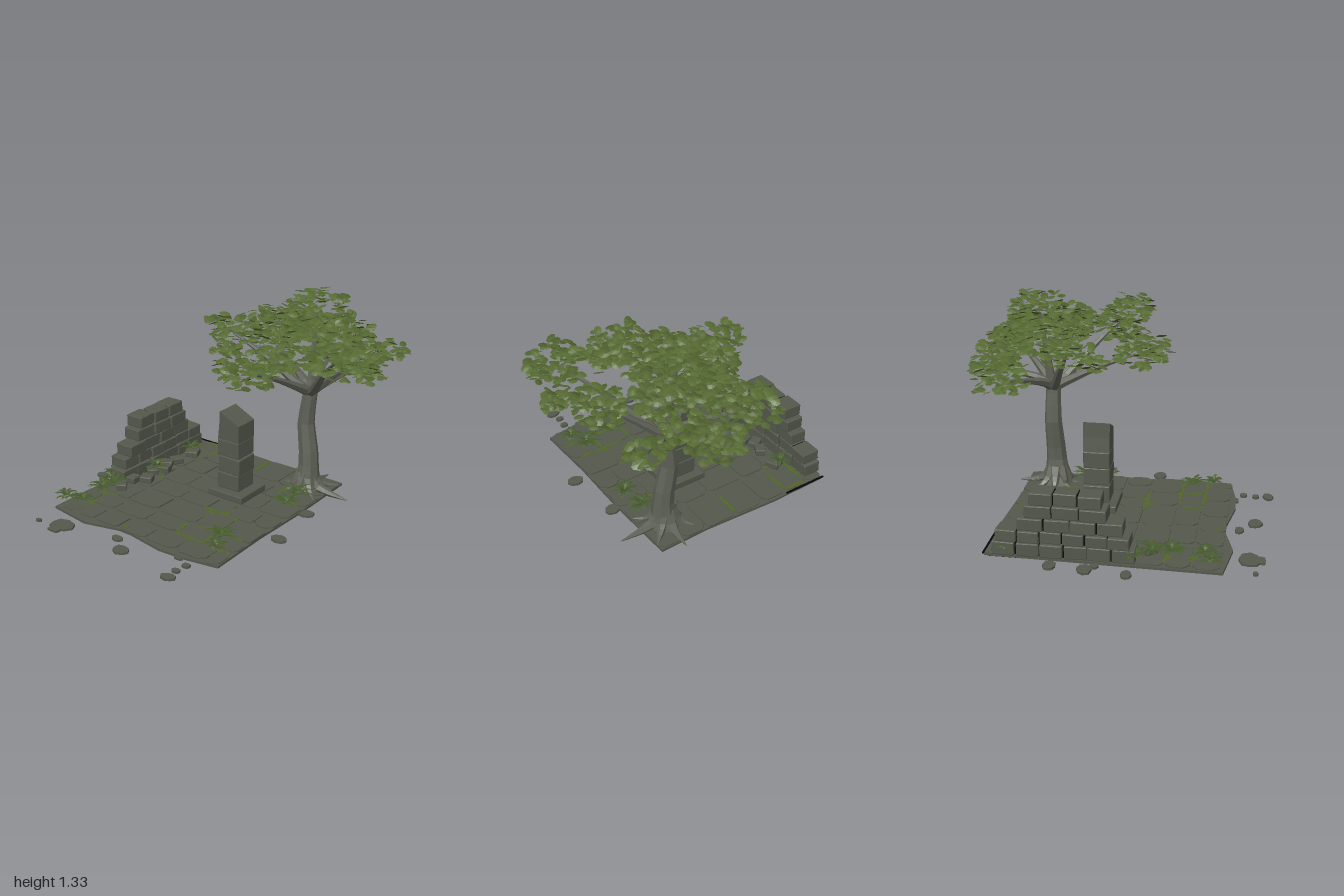
import * as THREE from 'three';
import { mergeGeometries } from 'three/addons/utils/BufferGeometryUtils.js';
import { RoundedBoxGeometry } from 'three/addons/geometries/RoundedBoxGeometry.js';

const material = (name, color, side = THREE.FrontSide) => {
  const m = new THREE.MeshStandardMaterial({ color, side });
  m.name = name;
  return m;
};

export function createModel() {
  const group = new THREE.Group();
  const stone = material('grey stone', 0x54584c);
  const black = material('black recess', 0x060606);
  const bark = material('grey bark', 0x5f6257);
  const moss = material('moss', 0x52662b);
  const leafA = material('leaf green', 0x566a32, THREE.DoubleSide);
  const leafB = material('deep leaf green', 0x4e602d, THREE.DoubleSide);
  const fern = material('fern green', 0x465a2c, THREE.DoubleSide);

  let seed = 7;
  const rand = (a = 0, b = 1) => {
    seed = (seed * 16807) % 2147483647;
    return a + (b - a) * (seed / 2147483647);
  };
  const flat = (geo) => {
    const g = geo.index ? geo.toNonIndexed() : geo;
    g.computeVertexNormals();
    return g;
  };
  const add = (name, geos, mat) => {
    const list = [].concat(geos).map(flat);
    const mesh = new THREE.Mesh(list.length > 1 ? mergeGeometries(list) : list[0], mat);
    mesh.name = name;
    group.add(mesh);
  };
  // Horizontal slab from [x, z] corners
  const slab = (pts, y, h) => {
    const shape = new THREE.Shape(pts.map(([x, z]) => new THREE.Vector2(x, -z)));
    return new THREE.ExtrudeGeometry(shape, { depth: h, bevelEnabled: false })
      .rotateX(-Math.PI / 2).translate(0, y, 0);
  };
  const block = (x, y, z, w, h, d, ry = 0, rz = 0) =>
    new RoundedBoxGeometry(w, h, d, 1, 0.006).rotateZ(rz).rotateY(ry).translate(x, y, z);
  // Irregular flat polygon slab
  const pebble = (x, z, rx, rz, y, h, n = 8) => slab(Array.from({ length: n }, (_, i) => {
    const a = (i / n) * Math.PI * 2;
    const k = rand(0.78, 1.1);
    return [x + Math.cos(a) * rx * k, z + Math.sin(a) * rz * k];
  }), y, h);
  // Tapered tube through points, radius shaped by a function of t
  const limb = (pts, radius, sides = 7, steps = 8) => {
    const path = new THREE.CatmullRomCurve3(pts.map((p) => new THREE.Vector3(...p)));
    const geo = new THREE.TubeGeometry(path, steps, 1, sides);
    const pos = geo.attributes.position;
    const v = new THREE.Vector3();
    for (let i = 0; i < pos.count; i++) {
      const t = Math.floor(i / (sides + 1)) / steps;
      const c = path.getPointAt(t);
      v.fromBufferAttribute(pos, i).sub(c).multiplyScalar(radius(t)).add(c);
      pos.setXYZ(i, v.x, v.y, v.z);
    }
    return geo;
  };

  // Paved floor: worn base slab with staggered corner-cut flagstones
  add('floorBase', slab([[-0.79, -0.62], [-0.4, -0.63], [0.1, -0.61], [0.44, -0.62], [0.45, -0.1], [0.44, 0.3],
    [0.45, 0.72], [0.23, 0.76], [0.05, 0.77], [-0.26, 0.72], [-0.53, 0.79], [-0.82, 0.75], [-0.81, 0.2]], 0.003, 0.015), stone);
  // Each course: [back z, front z, x cuts]
  const courses = [
    [-0.615, -0.355, [-0.8, -0.67, -0.51, -0.33, -0.12, 0.1, 0.28, 0.445]],
    [-0.35, -0.165, [-0.8, -0.55, -0.36, -0.1, 0.12, 0.3, 0.445]],
    [-0.16, 0.035, [-0.8, -0.56, -0.35, -0.15, 0.05, 0.22, 0.445]],
    [0.04, 0.205, [-0.8, -0.52, -0.27, -0.04, 0.1, 0.3, 0.445]],
    [0.215, 0.41, [-0.8, -0.52, -0.28, 0.02, 0.21, 0.445]],
    [0.42, 0.565, [-0.81, -0.68, -0.5, -0.25, 0.0, 0.22, 0.445]],
    [0.57, 0.735, [-0.81, -0.66, -0.51, -0.32, -0.1, 0.13, 0.35, 0.445]],
  ];
  const tiles = [];
  const undersides = [];
  courses.forEach(([z0, z1, cutsX], row) => cutsX.slice(0, -1).forEach((x, i) => {
    const cuts = [0, 0, 0, 0].map(() => rand(0.014, 0.04));
    const corners = (g) => {
      const [l, r, b, f] = [x + g, cutsX[i + 1] - g, z0 + g, z1 - g];
      const [p, q, s, t] = cuts;
      return [[l + p, b], [r - q, b], [r, b + q], [r, f - s], [r - s, f], [l + t, f], [l, f - t], [l, b + p]];
    };
    tiles.push(slab(corners(0.004), 0.004, 0.0195 + ((row + i) % 3) * 0.0015));
    undersides.push(slab(corners(0.01), 0, 0.003));
  }));
  add('flagstones', tiles, stone);
  add('flagstoneUndersides', undersides, black);
  add('backEdgeShadowGap', new THREE.BoxGeometry(0.3, 0.008, 0.01).translate(-0.65, 0.02, -0.624), black);

  // Moss filling the joints, as thin patches and creeping strips [x, z, half width, half depth]
  add('jointMoss', [[-0.6, -0.5, 0.15, 0.1], [-0.64, -0.3, 0.1, 0.1], [0.1, 0.22, 0.13, 0.13], [0.2, 0.4, 0.13, 0.13],
    [0.12, 0.55, 0.14, 0.14], [0.33, 0.58, 0.09, 0.1], [-0.08, -0.48, 0.13, 0.1], [-0.64, 0.05, 0.1, 0.1],
    [-0.68, 0.45, 0.1, 0.12], [-0.7, 0.64, 0.08, 0.08], [0.28, -0.4, 0.13, 0.16]].map((p) => pebble(...p, 0.0195, 0.003, 9)), moss);
  add('creepingMoss', [[-0.6, -0.355, 0.08, 0.014], [-0.51, -0.48, 0.012, 0.11], [-0.59, -0.595, 0.08, 0.014], [-0.67, -0.46, 0.014, 0.09],
    [0.0, 0.21, 0.07, 0.015], [0.18, 0.415, 0.11, 0.014], [0.0, 0.49, 0.017, 0.06], [0.22, 0.49, 0.014, 0.08], [0.13, 0.57, 0.09, 0.014],
    [0.34, 0.415, 0.07, 0.014], [-0.28, 0.69, 0.02, 0.014], [-0.12, -0.5, 0.012, 0.1], [0.3, -0.165, 0.1, 0.014], [0.2, -0.3, 0.014, 0.09],
    [-0.63, 0.1, 0.014, 0.08]].map((p) => pebble(...p, 0.0255, 0.002, 8)), moss);

  // Ruined wall: stepped courses [y0, y1, back z, front z] around a dark core
  const wall = [];
  const core = [];
  [[0.02, 0.105, -0.57, 0.26], [0.105, 0.18, -0.55, 0.23], [0.18, 0.26, -0.42, 0.19],
    [0.26, 0.34, -0.38, 0.1], [0.34, 0.42, -0.35, 0.07]].forEach(([y0, y1, z0, z1]) => {
    const n = Math.round((z1 - z0) / 0.14);
    const d = (z1 - z0) / n;
    core.push(new THREE.BoxGeometry(0.085, y1 - y0 - 0.012, z1 - z0 - 0.05).translate(-0.75, (y0 + y1) / 2 - 0.002, (z0 + z1) / 2));
    for (let i = 0; i < n; i++) {
      wall.push(block(-0.75 + rand(-0.008, 0.008), (y0 + y1) / 2, z0 + (i + 0.5) * d,
        rand(0.115, 0.13), y1 - y0 - 0.004, d - 0.007, rand(-0.05, 0.05), rand(-0.035, 0.035)));
    }
  });
  add('ruinedWall', wall, stone);
  add('wallCore', core, black);

  // Fallen wall blocks
  add('fallenBlocks', [[-0.61, -0.36, 0.4], [-0.62, -0.2, 1], [-0.6, -0.05, 0.3], [-0.64, 0.03, 0.8], [-0.59, 0.14, 0.4],
    [-0.66, 0.2, 0.1], [-0.65, 0.32, 0.7], [-0.64, -0.12, 0.5]].map(([x, z, ry]) =>
    block(x, 0.045, z, rand(0.06, 0.09), 0.042, rand(0.06, 0.09), ry)), stone);

  // Broken pillar on a plinth
  const pillar = [block(-0.025, 0.047, -0.085, 0.27, 0.046, 0.26)];
  for (let i = 0; i < 3; i++) {
    pillar.push(block(-0.03 + (i % 2 ? 0.004 : -0.002), 0.128 + i * 0.112, -0.085, 0.163, 0.109, 0.165, 0, i % 2 ? -0.025 : 0.015));
  }
  add('pillar', pillar, stone);
  const cap = new THREE.Shape([[-0.08, 0], [0.08, 0], [0.08, 0.115], [-0.065, 0.185], [-0.07, 0.09]].map((p) => new THREE.Vector2(...p)));
  add('brokenPillarTop', new THREE.ExtrudeGeometry(cap, { depth: 0.165, bevelEnabled: false })
    .translate(-0.03, 0.408, -0.168), stone);

  // Flat stones scattered around the floor
  add('scatteredStones', [[-0.88, -0.02, 0.06], [-0.87, -0.22, 0.055], [-0.91, 0.22, 0.05], [-0.83, 0.03, 0.035], [-0.78, 0.93, 0.022],
    [-0.62, 0.89, 0.085], [-0.62, 0.95, 0.045], [-0.24, 0.81, 0.04], [-0.13, 0.9, 0.06], [0.2, 0.765, 0.03], [0.29, 0.81, 0.03],
    [0.28, 0.885, 0.03], [0.29, 0.965, 0.05], [0.53, 0.24, 0.06], [0.48, -0.13, 0.055]].map(([x, z, r]) =>
    pebble(x, z, r, r * 0.75, 0, 0.014)), stone);

  // Kinked tree trunk and spreading roots
  add('trunk', limb([[0.29, 0.01, -0.42], [0.298, 0.12, -0.42], [0.3, 0.24, -0.425], [0.265, 0.49, -0.435],
    [0.282, 0.6, -0.435], [0.295, 0.74, -0.435]], (t) => 0.045 + 0.029 * (1 - t) + 0.04 * Math.max(0, 1 - t * 6), 8, 8), bark);
  const roots = [];
  [[0, 0.31], [0.75, 0.2], [1.5, 0.15], [2.3, 0.15], [3.1, 0.18], [3.9, 0.2], [4.75, 0.25], [5.5, 0.22]].forEach(([a, len]) => {
    const at = (k, y) => [0.29 + Math.cos(a) * k, y, -0.42 + Math.sin(a) * k];
    roots.push(limb([at(0.03, 0.13), at(0.08, 0.055), at(len * 0.6, 0.03), at(len, 0.02)], (t) => 0.045 * (1 - t) + 0.003, 6, 6));
  });
  add('roots', roots, bark);

  // Foliage clusters: [x, y, z, radius, has branch]
  const clusters = [[-0.15, 0.86, -0.67, 0.17, 1], [-0.2, 1.05, -0.24, 0.15, 1], [0.02, 1.08, -0.45, 0.17, 0], [0.22, 0.85, -0.81, 0.16, 1],
    [0.65, 0.93, -0.78, 0.11, 1], [0.27, 1.2, -0.52, 0.19, 1], [0.45, 1.08, -0.6, 0.15, 0], [0.69, 1.0, -0.36, 0.16, 1], [0.74, 1.1, 0.01, 0.17, 1],
    [0.83, 1.0, -0.18, 0.1, 0], [0.22, 0.97, 0.15, 0.18, 1], [0.42, 1.04, 0.0, 0.13, 0], [0.18, 1.12, -0.24, 0.15, 0], [-0.12, 0.96, -0.1, 0.09, 0],
    [0.05, 1.0, -0.7, 0.14, 0], [0.4, 0.96, -0.75, 0.13, 0], [0.38, 1.14, -0.35, 0.13, 0], [0.15, 1.05, -0.62, 0.15, 0]];

  // Branches reaching into the main clusters
  add('branches', clusters.filter((c) => c[4]).map(([x, y, z]) => {
    const mix = (k, yy) => [0.29 + (x - 0.29) * k, yy, -0.435 + (z + 0.435) * k];
    return limb([mix(0, 0.68), mix(0.15, 0.73), mix(0.55, 0.73 + (y - 0.75) * 0.55), mix(0.95, y - 0.02)],
      (t) => 0.028 * (1 - t) + 0.007, 6, 6);
  }), bark);

  // Oval cupped leaves filling the clusters
  const leaves = [[], []];
  clusters.forEach(([x, y, z, r]) => {
    const n = Math.round(100 * (r / 0.165) ** 2);
    for (let i = 0; i < n; i++) {
      const a = rand(0, Math.PI * 2);
      const q = Math.sqrt(rand()) * r;
      const lift = rand(-0.8, 1) * Math.sqrt(1 - (q / r) ** 2 * 0.75) * r * 0.68;
      const leaf = new THREE.CircleGeometry(rand(0.023, 0.031), 7).scale(1.25, 0.9, 1).rotateX(-Math.PI / 2);
      leaf.attributes.position.setY(0, 0.005);
      leaf.rotateZ(rand(-0.45, 0.45)).rotateX(rand(-0.45, 0.45)).rotateY(rand(0, 6.28));
      leaves[i % 3 === 0 ? 1 : 0].push(leaf.translate(x + Math.cos(a) * q, y + lift, z + Math.sin(a) * q));
    }
  });
  add('leaves', leaves[0], leafA);
  add('deepLeaves', leaves[1], leafB);

  // Low ferns: flat star-shaped tufts of tapering fronds in layers
  const fronds = [];
  [[-0.7, 0.34, 0.1], [-0.69, 0.45, 0.1], [-0.68, 0.64, 0.08], [-0.79, 0.68, 0.08], [-0.62, 0.0, 0.08], [-0.64, -0.38, 0.08],
    [0.3, 0.49, 0.1], [0.35, 0.61, 0.07], [-0.79, 0.25, 0.07], [-0.79, -0.5, 0.06], [0.36, -0.08, 0.09], [0.34, -0.24, 0.09]].forEach(([x, z, r]) => {
    for (let i = 0; i < 18; i++) {
      const frond = new THREE.PlaneGeometry(1, 1, 4, 1).rotateX(-Math.PI / 2).translate(0.5, 0, 0);
      const p = frond.attributes.position;
      const len = r * rand(0.7, 1.15);
      const base = rand(0.055, 0.09);
      for (let k = 0; k < p.count; k++) {
        const t = p.getX(k);
        const w = 0.02 * Math.sin(Math.PI * (0.1 + 0.9 * t));
        p.setXYZ(k, t * len, base + 0.02 * Math.sin(t * 2.6), p.getZ(k) * w);
      }
      fronds.push(frond.rotateY((i / 18) * 6.283 + rand(-0.15, 0.15)).translate(x, 0, z));
    }
  });
  add('ferns', fronds, fern);

  return group;
}
